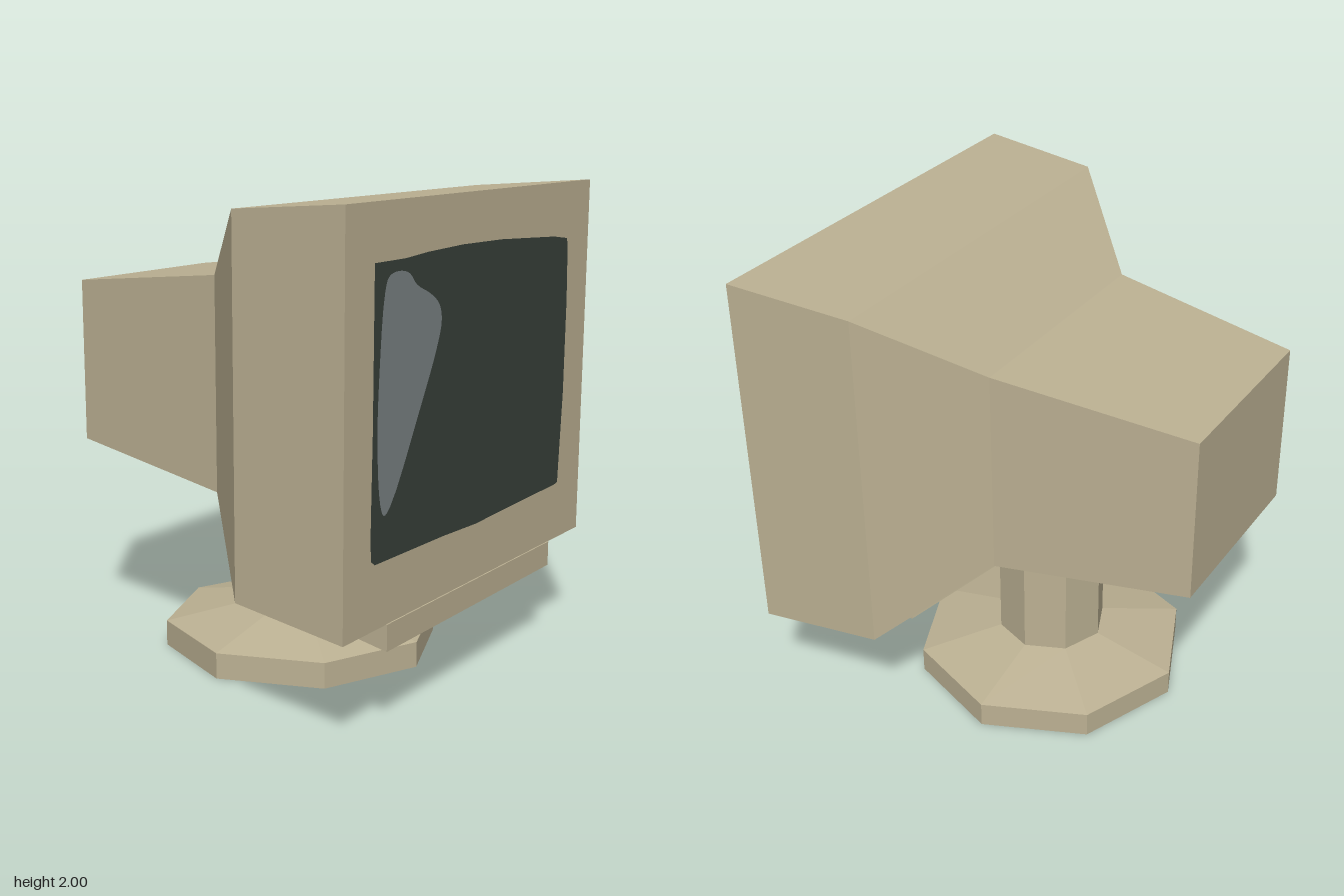
import * as THREE from 'three';

const casing = new THREE.MeshStandardMaterial({ color: 0xbcb193 });
casing.name = 'beige plastic';
casing.flatShading = true;
const glass = new THREE.MeshStandardMaterial({ color: 0x39413a });
glass.name = 'dark glass';
const shine = new THREE.MeshStandardMaterial({ color: 0x7b8385 });
shine.name = 'grey reflection';

// Closed solid through rectangular sections [z, halfWidth, bottom, top], front to back
function loft(sections) {
  const rings = sections.map(([z, w, b, t]) => [[-w, b, z], [w, b, z], [w, t, z], [-w, t, z]]);
  const pos = [];
  const quad = (a, b, c, d) => pos.push(...a, ...b, ...c, ...a, ...c, ...d);
  quad(...rings[0]);
  for (let s = 0; s < rings.length - 1; s++) {
    const f = rings[s], r = rings[s + 1];
    for (let i = 0; i < 4; i++) {
      const j = (i + 1) % 4;
      quad(f[i], r[i], r[j], f[j]);
    }
  }
  quad(...[...rings[rings.length - 1]].reverse());
  const g = new THREE.BufferGeometry();
  g.setAttribute('position', new THREE.Float32BufferAttribute(pos, 3));
  g.computeVertexNormals();
  return g;
}

// Thin flat plate from an outline
function plate(points) {
  return new THREE.ShapeGeometry(new THREE.Shape(points.map(([x, y]) => new THREE.Vector2(x, y))));
}

export function createModel() {
  const model = new THREE.Group();
  model.name = 'monitor';
  const add = (name, geometry, material, x = 0, y = 0, z = 0) => {
    const mesh = new THREE.Mesh(geometry, material);
    mesh.name = name;
    mesh.position.set(x, y, z);
    model.add(mesh);
  };

  // Tube housing, stepping in towards the back
  add('housing', loft([
    [0.86, 0.925, 0.45, 2.0],
    [0.335, 0.875, 0.49, 1.96],
    [-0.035, 0.525, 0.785, 1.665],
    [-0.865, 0.415, 0.875, 1.575],
  ]), casing);

  // Control tray under the housing, following its slope
  add('lowerTray', loft([
    [0.865, 0.645, 0.345, 0.451],
    [0.335, 0.61, 0.42, 0.5],
    [-0.035, 0.375, 0.75, 0.795],
    [-0.54, 0.12, 0.835, 0.85],
  ]), casing);

  // Screen with slightly uneven edges
  add('screen', plate([
    [-0.75, 1.79], [-0.55, 1.79], [-0.4, 1.8], [-0.15, 1.807], [0.15, 1.803], [0.6, 1.78],
    [0.715, 1.765], [0.725, 1.74], [0.735, 1.5], [0.733, 1.1], [0.715, 0.8], [0.71, 0.705],
    [0.68, 0.7], [0.25, 0.692], [0, 0.685], [-0.25, 0.695], [-0.73, 0.702], [-0.755, 0.72],
    [-0.76, 0.8], [-0.752, 1.2],
  ].reverse()), glass, 0, 0, 0.864);

  // Window reflection on the glass
  const outline = [
    [-0.69, 1.68], [-0.665, 1.735], [-0.6, 1.75], [-0.53, 1.735], [-0.48, 1.69], [-0.38, 1.645],
    [-0.32, 1.6], [-0.303, 1.54], [-0.33, 1.45], [-0.45, 1.22], [-0.64, 0.9], [-0.68, 0.875],
    [-0.705, 0.92], [-0.728, 1.15], [-0.72, 1.4],
  ].reverse().map(([x, y]) => new THREE.Vector3(x, y, 0));
  const smooth = new THREE.CatmullRomCurve3(outline, true).getPoints(60).slice(0, -1);
  add('reflection', plate(smooth.map((p) => [p.x, p.y])), shine, 0, 0, 0.868);

  // Octagonal stand
  const cx = 0.035, cz = -0.02;
  add('standFoot', new THREE.CylinderGeometry(0.597, 0.597, 0.11, 8), casing, cx, 0.055, cz);
  add('standSlope', new THREE.CylinderGeometry(0.237, 0.597, 0.075, 8, 1, true), casing, cx, 0.1475, cz);
  add('standNeck', new THREE.CylinderGeometry(0.237, 0.237, 0.665, 8), casing, cx, 0.5175, cz);

  return model;
}
